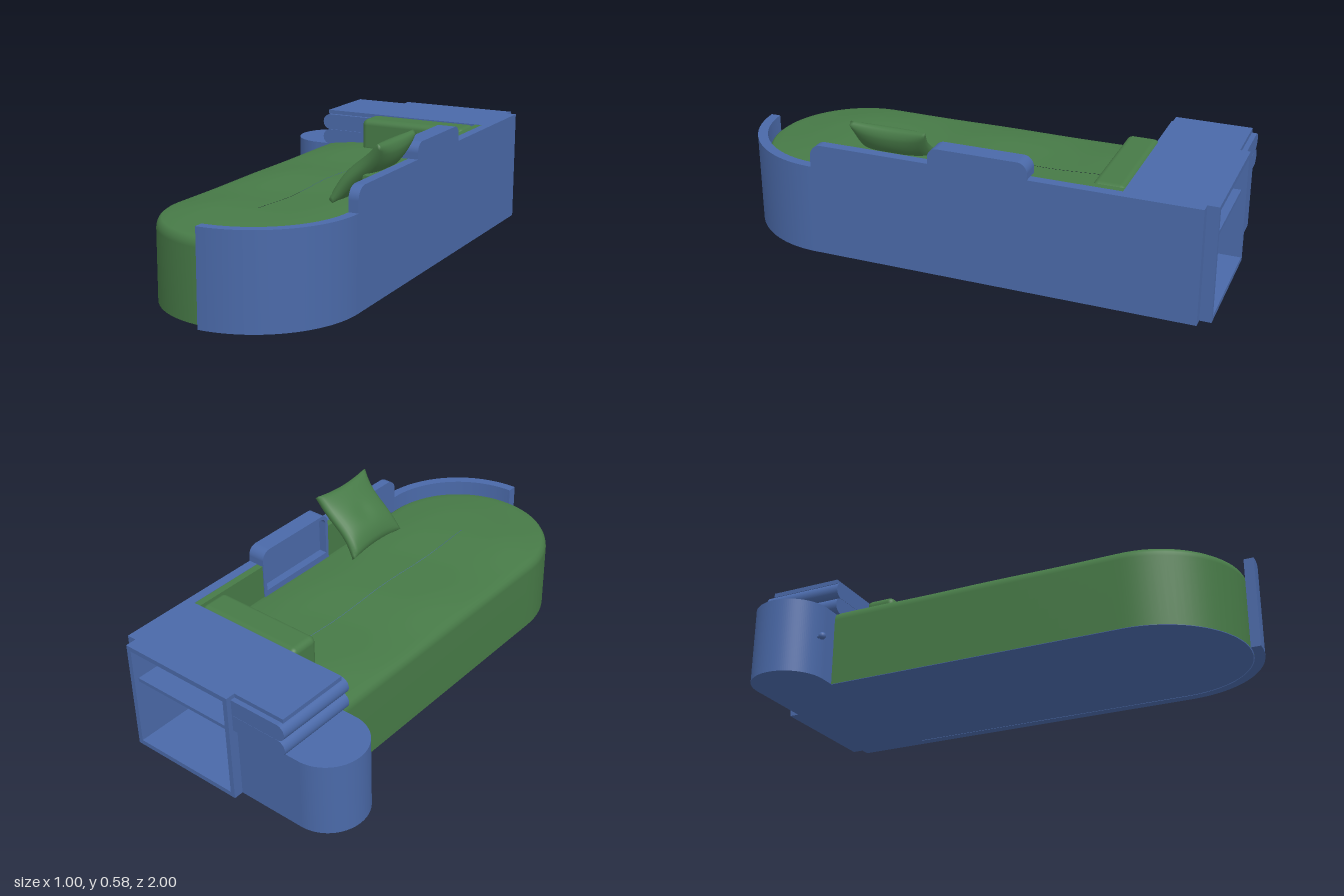
import * as THREE from 'three';
import { mergeVertices } from 'three/addons/utils/BufferGeometryUtils.js';
import { RoundedBoxGeometry } from 'three/addons/geometries/RoundedBoxGeometry.js';

const blue = new THREE.MeshStandardMaterial({ color: 0x4a69a8 });
const green = new THREE.MeshStandardMaterial({ color: 0x477a47 });
const CX = 0.085, CZ = 0.59, R = 0.37, BACK = -0.65;

export function createModel() {
  const root = new THREE.Group();
  const add = (name, geo, mat = blue, parent = root) => {
    const m = new THREE.Mesh(geo, mat);
    m.name = name;
    parent.add(m);
    return m;
  };
  // Box from its min and max corners
  const box = (name, x0, x1, y0, y1, z0, z1, mat = blue, parent = root) =>
    add(name, new THREE.BoxGeometry(x1 - x0, y1 - y0, z1 - z0)
      .translate((x0 + x1) / 2, (y0 + y1) / 2, (z0 + z1) / 2), mat, parent);
  const extrude = (shape, depth) =>
    new THREE.ExtrudeGeometry(shape, { depth, bevelEnabled: false, curveSegments: 32 });
  // Floor-plan shape (y = -z) raised from y0 to y1
  const plan = (shape, y0, y1) => extrude(shape, y1 - y0).rotateX(-Math.PI / 2).translate(0, y0, 0);
  // Side-profile shape (x = -z) spread from x0 to x1
  const side = (shape, x0, x1) => extrude(shape, x1 - x0).rotateY(Math.PI / 2).translate(x0, 0, 0);

  // Mattress: inset U-shaped outlines lofted upward to the spine
  add('mattress', mattressGeometry(), green);
  const base = new THREE.Shape();
  base.moveTo(CX - R + 0.004, -BACK);
  base.lineTo(CX - R + 0.004, -CZ);
  base.absarc(CX, -CZ, R - 0.004, Math.PI, 2 * Math.PI, false);
  base.lineTo(CX + R - 0.004, -BACK);
  add('bedBase', plan(base, 0, 0.02));

  // Curved foot guard, a quarter ring
  const guard = new THREE.Shape();
  guard.absarc(CX, -CZ, 0.41, -Math.PI / 2, 0, false);
  guard.absarc(CX, -CZ, R, 0, -Math.PI / 2, true);
  add('footGuard', plan(guard, 0, 0.37));

  // Long side wall with a raised round-cornered hump
  const wall = new THREE.Shape();
  wall.moveTo(-CZ, 0);
  wall.lineTo(0.955, 0);
  wall.lineTo(0.955, 0.465);
  wall.lineTo(0.3, 0.465);
  wall.lineTo(0.3, 0.49);
  wall.absarc(0.26, 0.49, 0.04, 0, Math.PI / 2, false);
  wall.lineTo(-0.055, 0.53);
  wall.absarc(-0.055, 0.49, 0.04, Math.PI / 2, Math.PI, false);
  wall.lineTo(-0.095, 0.465);
  wall.lineTo(-0.54, 0.465);
  wall.absarc(-0.54, 0.415, 0.05, Math.PI / 2, Math.PI, false);
  add('sideWall', side(wall, 0.455, 0.495));

  // Frame around the wall niche
  const roundTop = (path, a, b, y0, y1, r) => {
    path.moveTo(a, y0);
    path.lineTo(b, y0);
    path.lineTo(b, y1 - r);
    path.absarc(b - r, y1 - r, r, 0, Math.PI / 2, false);
    path.lineTo(a + r, y1);
    path.absarc(a + r, y1 - r, r, Math.PI / 2, Math.PI, false);
    path.closePath();
    return path;
  };
  const frame = roundTop(new THREE.Shape(), -0.095, 0.3, 0.3, 0.53, 0.04);
  frame.holes.push(roundTop(new THREE.Path(), -0.08, 0.285, 0.345, 0.515, 0.028));
  add('nicheFrame', side(frame, 0.42, 0.456));

  // Padding on the wall either side of the niche
  box('rearWallPad', 0.425, 0.456, 0.3, 0.464, BACK, -0.3, green);
  box('frontWallPad', 0.425, 0.456, 0.3, 0.464, 0.095, 0.42, green);

  // Bookcase behind the head end, open to the back
  const bookcase = new THREE.Group();
  bookcase.name = 'bookcase';
  root.add(bookcase);
  const t = 0.02;
  box('bookcaseTop', -0.055, 0.455, 0.465 - t, 0.465, -1, BACK, blue, bookcase);
  box('bookcaseBottom', -0.055, 0.455, 0, t, -1, BACK, blue, bookcase);
  for (const [n, x] of [['leftSide', 0.455 - t], ['rightSide', -0.055]])
    box(n, x, x + t, t, 0.465 - t, -1, BACK, blue, bookcase);
  box('bookcasePanel', -0.035, 0.435, t, 0.465 - t, BACK - t, BACK, blue, bookcase);
  box('shelf', -0.035, 0.435, 0.295, 0.31, -0.98, BACK - t, blue, bookcase);
  box('headTop', -0.285, -0.055, 0.447, 0.465, -0.96, BACK);

  // Low side cabinet with a half-round end
  const cabinet = new THREE.Shape();
  cabinet.moveTo(-0.055, 0.65);
  cabinet.lineTo(-0.055, 0.96);
  cabinet.lineTo(-0.345, 0.96);
  cabinet.absarc(-0.345, 0.805, 0.155, Math.PI / 2, 1.5 * Math.PI, false);
  add('sideCabinet', plan(cabinet, 0, 0.31));
  add('knob', new THREE.SphereGeometry(0.015, 20, 14).translate(-0.387, 0.167, -0.637));
  add('knobStem', new THREE.CylinderGeometry(0.007, 0.007, 0.03, 16)
    .rotateX(Math.PI / 2).translate(-0.387, 0.167, -0.65));

  // Two drawers with rounded outer ends, stacked on the cabinet
  for (const y of [0.345, 0.414]) {
    const s = new THREE.Shape();
    s.moveTo(-0.055, y - 0.034);
    s.lineTo(-0.055, y + 0.034);
    s.lineTo(-0.271, y + 0.034);
    s.absarc(-0.271, y, 0.034, Math.PI / 2, 1.5 * Math.PI, false);
    add('roundedDrawer', extrude(s, 0.345).translate(0, 0, -0.98));
  }

  // Bolster at the head and a loose pillow against the wall
  add('bolster', new RoundedBoxGeometry(0.48, 0.145, 0.13, 5, 0.025)
    .translate(0.185, 0.392, -0.585), green);
  const pillow = add('pillow', pillowGeometry(), green);
  pillow.position.set(0.388, 0.463, 0.26);
  pillow.rotation.z = 0.86;
  return root;
}

function mattressGeometry() {
  // [inset, height] from the floor over the rounded edge to the spine
  const rings = [[0, 0], [0, 0.28], [0.003, 0.295], [0.01, 0.307], [0.02, 0.313]];
  for (let i = 1; i <= 12; i++) rings.push([0.02 + (R - 0.021) * i / 12, 0.313]);
  const STRAIGHT = 36, ARC = 40, pos = [], idx = [];
  const n = 2 * STRAIGHT + ARC + 1;
  for (const [d, h] of rings) {
    const r = Math.max(R - d, 0.0005);
    for (let i = 0; i < n; i++) {
      let x, z;
      if (i < STRAIGHT) {
        x = CX - r;
        z = BACK + (CZ - BACK) * i / STRAIGHT;
      } else if (i <= STRAIGHT + ARC) {
        const a = Math.PI * (1 - (i - STRAIGHT) / ARC);
        x = CX + r * Math.cos(a);
        z = CZ + r * Math.sin(a);
      } else {
        x = CX + r;
        z = CZ - (CZ - BACK) * (i - STRAIGHT - ARC) / STRAIGHT;
      }
      // Soft crown with gentle waves
      const crown = Math.sin(Math.min(d / 0.22, 1) * Math.PI / 2);
      const y = h + crown * (0.02 + 0.007 * Math.sin(z * 11 + 1) * Math.cos((x + 0.1) * 4));
      pos.push(x, y, z);
    }
  }
  for (let k = 0; k < rings.length - 1; k++)
    for (let i = 0; i < n - 1; i++) {
      const a = k * n + i, b = a + n;
      idx.push(a, a + 1, b, a + 1, b + 1, b);
    }
  const g = new THREE.BufferGeometry();
  g.setAttribute('position', new THREE.Float32BufferAttribute(pos, 3));
  g.setIndex(idx);
  g.computeVertexNormals();
  return g;
}

function pillowGeometry() {
  // Slab puffed in the middle, pinched along its sides and slightly bent
  let g = new THREE.BoxGeometry(2, 2, 2, 24, 2, 24);
  g.deleteAttribute('uv');
  g.deleteAttribute('normal');
  g = mergeVertices(g);
  const p = g.attributes.position;
  for (let i = 0; i < p.count; i++) {
    const u = p.getX(i), s = p.getY(i), v = p.getZ(i);
    const puff = Math.sqrt(Math.max(0, (1 - u * u) * (1 - v * v)));
    const dent = 1 - 0.2 * Math.exp(-10 * (u * u + v * v));
    p.setXYZ(i,
      0.15 * u * (1 - 0.08 * (1 - v * v)),
      s * (0.01 + 0.035 * puff * dent) - 0.008 * Math.sin(Math.PI * u),
      0.153 * v * (1 - 0.08 * (1 - u * u)));
  }
  g.computeVertexNormals();
  return g;
}
